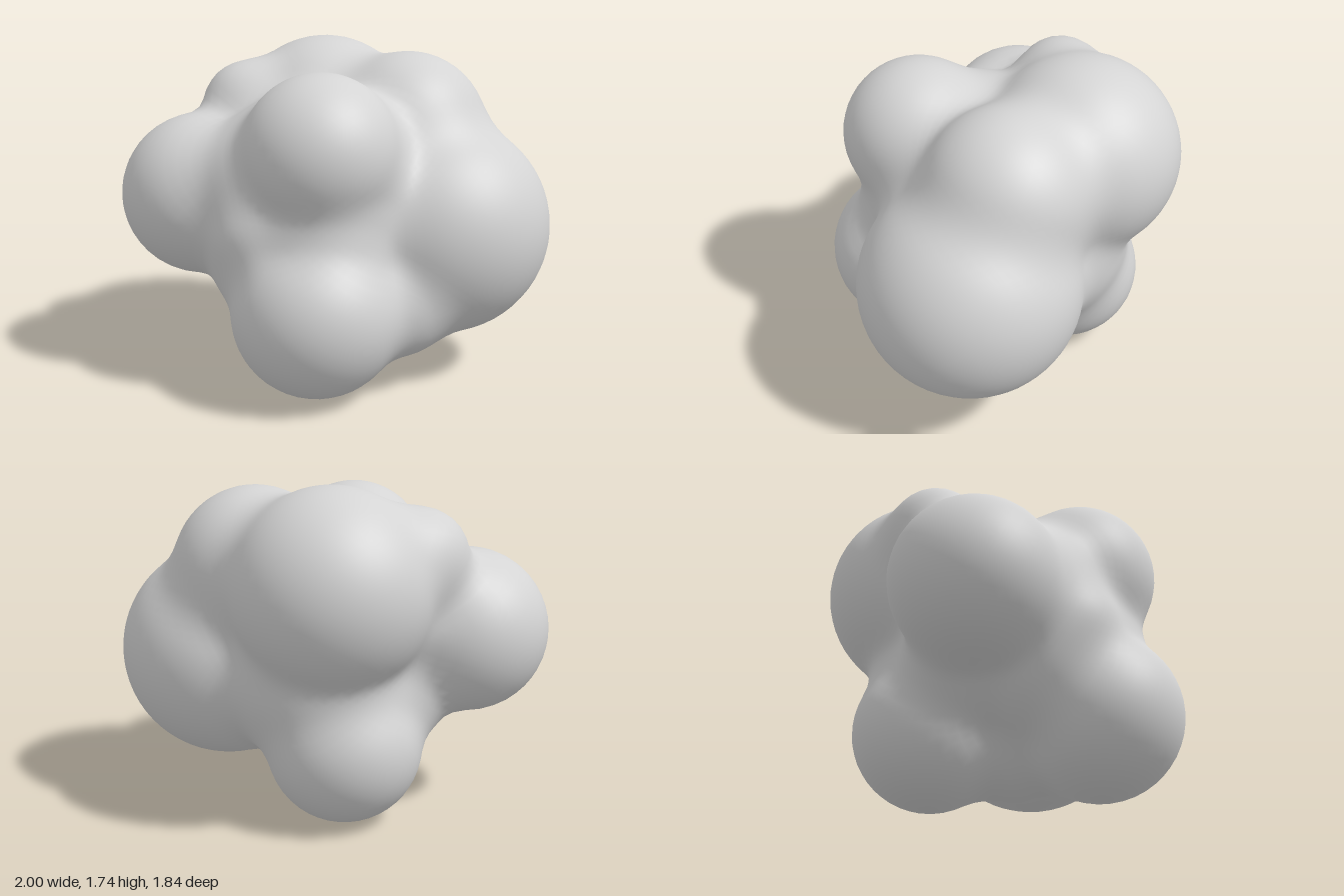
import * as THREE from 'three';
import { mergeVertices } from 'three/addons/utils/BufferGeometryUtils.js';

const CENTRE = new THREE.Vector3(0, 0.87, 0);
const BLEND = 0.13;

// Each lobe: x, y, z, radius
const LOBES = [
  [0, 0.87, 0, 0.61],           // core
  [0.425, 0.785, 0.35, 0.575],  // large front left
  [0.2, 1.22, -0.4, 0.52],      // upper back
  [0.37, 1.26, 0.12, 0.43],     // upper left
  [-0.31, 1.25, 0.28, 0.4],     // upper right
  [-0.375, 0.445, 0.335, 0.435], // lower front right
  [-0.57, 0.945, -0.45, 0.43],  // back right
  [0.12, 0.4, -0.385, 0.4],     // lower back
  // Smaller swellings that fill the hollows between the lobes
  [-0.49, 0.82, 0.06, 0.3],     // right side
  [-0.46, 1.08, -0.08, 0.29],   // upper right side
  [-0.22, 1.14, -0.06, 0.36],   // top centre
  [-0.3, 0.85, 0.32, 0.28],     // front right
  [-0.38, 0.62, -0.03, 0.32],   // lower right side
  [0, 0.4, 0.05, 0.325],        // underside
  [0.06, 0.45, 0.44, 0.285],    // lower front
  [-0.23, 1.37, -0.52, 0.25],   // top back bump
  [-0.2, 0.66, -0.36, 0.28],    // lower back right
  [0.15, 0.7, -0.38, 0.28],     // back
  [0.27, 0.72, -0.2, 0.37],     // left side
];

// Rounded union of two distances
function smoothMin(a, b) {
  const h = Math.max(BLEND - Math.abs(a - b), 0) / BLEND;
  return Math.min(a, b) - h * h * BLEND / 4;
}

function distance(p) {
  return LOBES.reduce((d, [x, y, z, r]) =>
    smoothMin(d, Math.hypot(p.x - x, p.y - y, p.z - z) - r), 10);
}

// Shrink a fine sphere inward along its rays until it meets the lobes
function lobedGeometry() {
  let geometry = new THREE.IcosahedronGeometry(1, 20);
  geometry.deleteAttribute('uv');
  geometry.deleteAttribute('normal');
  geometry = mergeVertices(geometry, 1e-4);
  const position = geometry.attributes.position;
  const direction = new THREE.Vector3();
  const point = new THREE.Vector3();
  for (let i = 0; i < position.count; i++) {
    direction.fromBufferAttribute(position, i).normalize();
    let radius = 1.6;
    for (let step = 0; step < 120; step++) {
      point.copy(CENTRE).addScaledVector(direction, radius);
      const d = distance(point);
      if (d < 0.0005) break;
      radius -= d * 0.9;
    }
    position.setXYZ(i, point.x, point.y, point.z);
  }
  geometry.computeVertexNormals();
  return geometry;
}

export function createModel() {
  const group = new THREE.Group();
  group.name = 'lobedBlob';
  const grey = new THREE.MeshStandardMaterial({ color: 0xd4d4d4 });
  grey.name = 'light grey';
  const body = new THREE.Mesh(lobedGeometry(), grey);
  body.name = 'lobedBody';
  group.add(body);

  // Stand on the ground, centred
  const box = new THREE.Box3().setFromObject(group);
  const middle = box.getCenter(new THREE.Vector3());
  body.geometry.translate(-middle.x, -box.min.y, -middle.z);
  return group;
}
